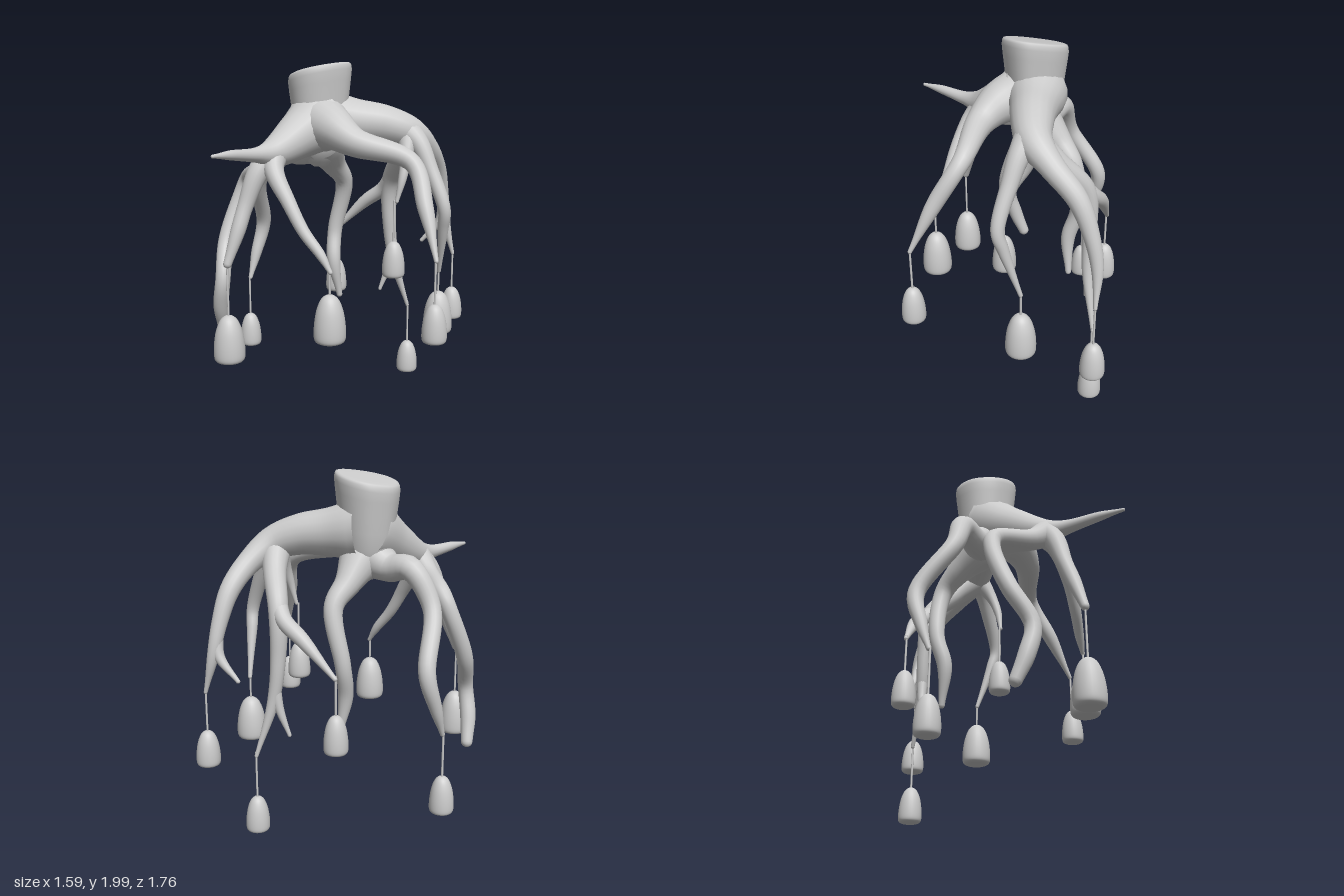
import * as THREE from 'three';

const material = new THREE.MeshStandardMaterial({ color: 0xcccccc, roughness: 0.8 });
const V = (x, y, z) => new THREE.Vector3(x, y, z);

// Skins a list of vertex rings, closing the last one with a single point.
function skin(rings, tip) {
  const n = rings[0].length;
  const pos = rings.flat().concat(tip).flatMap((p) => [p.x, p.y, p.z]);
  const index = [];
  for (let i = 0; i < rings.length; i++) {
    for (let j = 0; j < n; j++) {
      const a = i * n + j, b = i * n + ((j + 1) % n);
      if (i === rings.length - 1) index.push(a, b, rings.length * n);
      else index.push(a, b, a + n, b, b + n, a + n);
    }
  }
  const geo = new THREE.BufferGeometry();
  geo.setAttribute('position', new THREE.Float32BufferAttribute(pos, 3));
  geo.setIndex(index);
  geo.computeVertexNormals();
  return geo;
}

// A tapering limb with a rounded end through points [x, y, z, radius].
function limbGeometry(points) {
  const SIDES = 18, STEPS = 40;
  const curve = new THREE.CatmullRomCurve3(points.map((p) => V(p[0], p[1], p[2])));
  const radii = new THREE.SplineCurve(points.map((p, i) => new THREE.Vector2(p[3], i)));
  const frames = curve.computeFrenetFrames(STEPS, false);
  const ring = (c, r, i) => Array.from({ length: SIDES }, (_, j) => {
    const a = (j / SIDES) * Math.PI * 2;
    return c.clone().addScaledVector(frames.normals[i], r * Math.cos(a))
      .addScaledVector(frames.binormals[i], r * Math.sin(a));
  });
  const rings = [];
  for (let i = 0; i <= STEPS; i++) {
    const t = curve.getUtoTmapping(i / STEPS);
    rings.push(ring(curve.getPoint(t), Math.max(0.006, radii.getPoint(t).x), i));
  }
  const end = curve.getPoint(1), T = frames.tangents[STEPS], r = points[points.length - 1][3];
  for (let k = 1; k < 4; k++) {
    const a = (k / 4) * Math.PI / 2;
    rings.push(ring(end.clone().addScaledVector(T, r * Math.sin(a)), r * Math.cos(a), STEPS));
  }
  return skin(rings, end.clone().addScaledVector(T, r));
}

// Cut trunk: a rounded triangular outline scaled up the height, with a slanted top.
function trunkGeometry() {
  const outline = [[-0.35, 0.05], [-0.325, -0.08], [-0.25, -0.14], [-0.135, -0.15], [-0.01, -0.09],
    [0.018, -0.015], [-0.02, 0.12], [-0.09, 0.19], [-0.17, 0.205], [-0.275, 0.16]];
  const curve = new THREE.CatmullRomCurve3(outline.map(([x, z]) => V(x, 0, z)), true);
  const loop = curve.getPoints(48).slice(0, 48).reverse();
  const cx = -0.165, cz = 0.02;
  const levels = [[1.41, 0.2], [1.44, 0.42], [1.5, 0.64], [1.58, 0.78], [1.68, 0.86], [1.78, 0.91],
    [1.87, 0.97], [1.925, 1], [1.95, 0.985], [1.962, 0.95], [1.967, 0.88], [1.967, 0.5]];
  const rings = levels.map(([y, s]) => loop.map((p) => {
    const x = cx + (p.x - cx) * s, z = cz + (p.z - cz) * s;
    const tilt = THREE.MathUtils.smoothstep(y, 1.55, 1.93);
    return V(x, y + tilt * (0.22 * (x - cx) - 0.06 * z), z);
  }));
  return skin(rings, V(cx, 1.967, cz));
}

const LIMBS = {
  frontLimb: [[-0.15, 1.68, 0.02, 0.19], [-0.14, 1.6, 0.2, 0.135], [-0.12, 1.52, 0.4, 0.085],
    [-0.1, 1.515, 0.54, 0.042], [-0.065, 1.53, 0.74, 0.026], [-0.038, 1.535, 0.87, 0.01]],
  frontLeftTwig: [[-0.13, 1.53, 0.38, 0.075], [-0.07, 1.43, 0.45, 0.055], [0.05, 1.27, 0.455, 0.04],
    [0.145, 1.12, 0.435, 0.033], [0.24, 1.0, 0.4, 0.026], [0.295, 0.915, 0.385, 0.012]],
  frontMiddleTwig: [[-0.13, 1.53, 0.38, 0.075], [-0.15, 1.42, 0.49, 0.06], [-0.175, 1.24, 0.565, 0.044],
    [-0.18, 1.1, 0.62, 0.04], [-0.193, 0.93, 0.685, 0.024]],
  frontRightTwig: [[-0.12, 1.51, 0.42, 0.075], [-0.25, 1.41, 0.4, 0.058], [-0.47, 1.34, 0.31, 0.048],
    [-0.515, 1.24, 0.33, 0.046], [-0.525, 0.98, 0.44, 0.047], [-0.45, 0.77, 0.53, 0.044],
    [-0.49, 0.6, 0.52, 0.045], [-0.53, 0.46, 0.48, 0.034]],
  rightLimb: [[-0.18, 1.55, 0.03, 0.13], [-0.32, 1.49, 0.06, 0.08], [-0.46, 1.5, 0.085, 0.065],
    [-0.59, 1.3, 0.13, 0.05], [-0.72, 1.0, -0.005, 0.046], [-0.735, 0.8, 0.05, 0.034], [-0.73, 0.65, 0.105, 0.013]],
  leftLimb: [[-0.12, 1.66, 0.05, 0.17], [0.02, 1.64, 0.09, 0.125], [0.18, 1.57, 0.08, 0.08],
    [0.45, 1.47, -0.08, 0.05], [0.6, 1.24, -0.02, 0.043], [0.725, 0.99, 0.04, 0.012]],
  backLimb: [[-0.15, 1.68, -0.02, 0.17], [-0.02, 1.665, -0.13, 0.135], [0.1, 1.65, -0.24, 0.115],
    [0.2, 1.6, -0.36, 0.095], [0.215, 1.51, -0.5, 0.068], [0.18, 1.37, -0.65, 0.056],
    [0.16, 1.2, -0.73, 0.044], [0.155, 1.02, -0.78, 0.033], [0.195, 0.81, -0.815, 0.011]],
  backSpur: [[0.16, 1.14, -0.75, 0.035], [0.13, 1.02, -0.755, 0.03], [0.035, 0.89, -0.695, 0.012]],
  backInnerTwig: [[0.2, 1.59, -0.34, 0.085], [0.09, 1.46, -0.42, 0.065], [-0.06, 1.28, -0.49, 0.054],
    [-0.08, 1.0, -0.51, 0.042], [-0.06, 0.77, -0.535, 0.033], [-0.018, 0.46, -0.625, 0.011]],
  backInnerSpur: [[-0.068, 0.85, -0.525, 0.032], [-0.085, 0.73, -0.51, 0.025], [-0.12, 0.58, -0.47, 0.011]],
  backRightTwig: [[-0.04, 1.31, -0.48, 0.05], [-0.12, 1.23, -0.49, 0.045], [-0.24, 1.14, -0.45, 0.039],
    [-0.405, 0.955, -0.36, 0.013]],
  backLeftTwig: [[0.2, 1.61, -0.33, 0.085], [0.28, 1.55, -0.34, 0.06], [0.36, 1.41, -0.35, 0.046],
    [0.46, 1.18, -0.365, 0.037], [0.44, 1.07, -0.385, 0.032], [0.372, 0.79, -0.445, 0.012]],
  backShortTwig: [[0.22, 1.6, -0.32, 0.06], [0.265, 1.46, -0.25, 0.034], [0.275, 1.35, -0.21, 0.024],
    [0.262, 1.225, -0.18, 0.011]],
  backRightLimb: [[-0.16, 1.55, 0.0, 0.13], [-0.21, 1.41, -0.14, 0.075], [-0.225, 1.29, -0.245, 0.054],
    [-0.29, 0.98, -0.23, 0.045], [-0.26, 0.79, -0.19, 0.042], [-0.24, 0.57, -0.22, 0.018]],
};

// Hanging pods: [x, z, bottom, top, radius, cord top]
const PODS = [
  [0.195, -0.815, 0.38, 0.585, 0.068, 0.83], [-0.014, -0.625, 0.01, 0.215, 0.067, 0.48],
  [-0.405, -0.355, 0.54, 0.755, 0.067, 0.97], [0.37, -0.445, 0.41, 0.665, 0.086, 0.81],
  [0.245, -0.177, 0.78, 0.99, 0.066, 1.23], [0.724, 0.043, 0.55, 0.76, 0.067, 1.0],
  [0.292, 0.387, 0.53, 0.795, 0.087, 0.93], [-0.195, 0.687, 0.375, 0.64, 0.087, 0.93],
  [-0.729, 0.113, 0.2, 0.41, 0.067, 0.66],
];

function podGeometry() {
  const profile = new THREE.SplineCurve([[0.72, 0.0], [0.92, 0.04], [1, 0.15], [0.97, 0.4], [0.83, 0.67],
    [0.58, 0.88], [0.28, 0.98], [0, 1]].map(([r, h]) => new THREE.Vector2(r, h)));
  const pts = profile.getPoints(28);
  pts[pts.length - 1].x = 0;
  return new THREE.LatheGeometry([new THREE.Vector2(0, 0), new THREE.Vector2(0.7, 0), ...pts], 28);
}

export function createModel() {
  const model = new THREE.Group();
  model.name = 'rootWithHangingPods';
  const add = (parent, name, geo) => {
    const mesh = new THREE.Mesh(geo, material);
    mesh.name = name;
    parent.add(mesh);
    return mesh;
  };

  add(model, 'trunk', trunkGeometry());
  for (const [name, points] of Object.entries(LIMBS)) add(model, name, limbGeometry(points));

  const podGeo = podGeometry();
  const cordGeo = new THREE.CylinderGeometry(0.006, 0.006, 1, 8);
  for (const [x, z, bottom, top, radius, cordTop] of PODS) {
    const group = new THREE.Group();
    group.name = 'hangingPod';
    group.position.set(x, 0, z);
    const pod = add(group, 'pod', podGeo);
    pod.position.y = bottom;
    pod.scale.set(radius, top - bottom, radius);
    const cord = add(group, 'cord', cordGeo);
    cord.scale.y = cordTop - top + 0.02;
    cord.position.y = (cordTop + top - 0.02) / 2;
    model.add(group);
  }
  return model;
}
